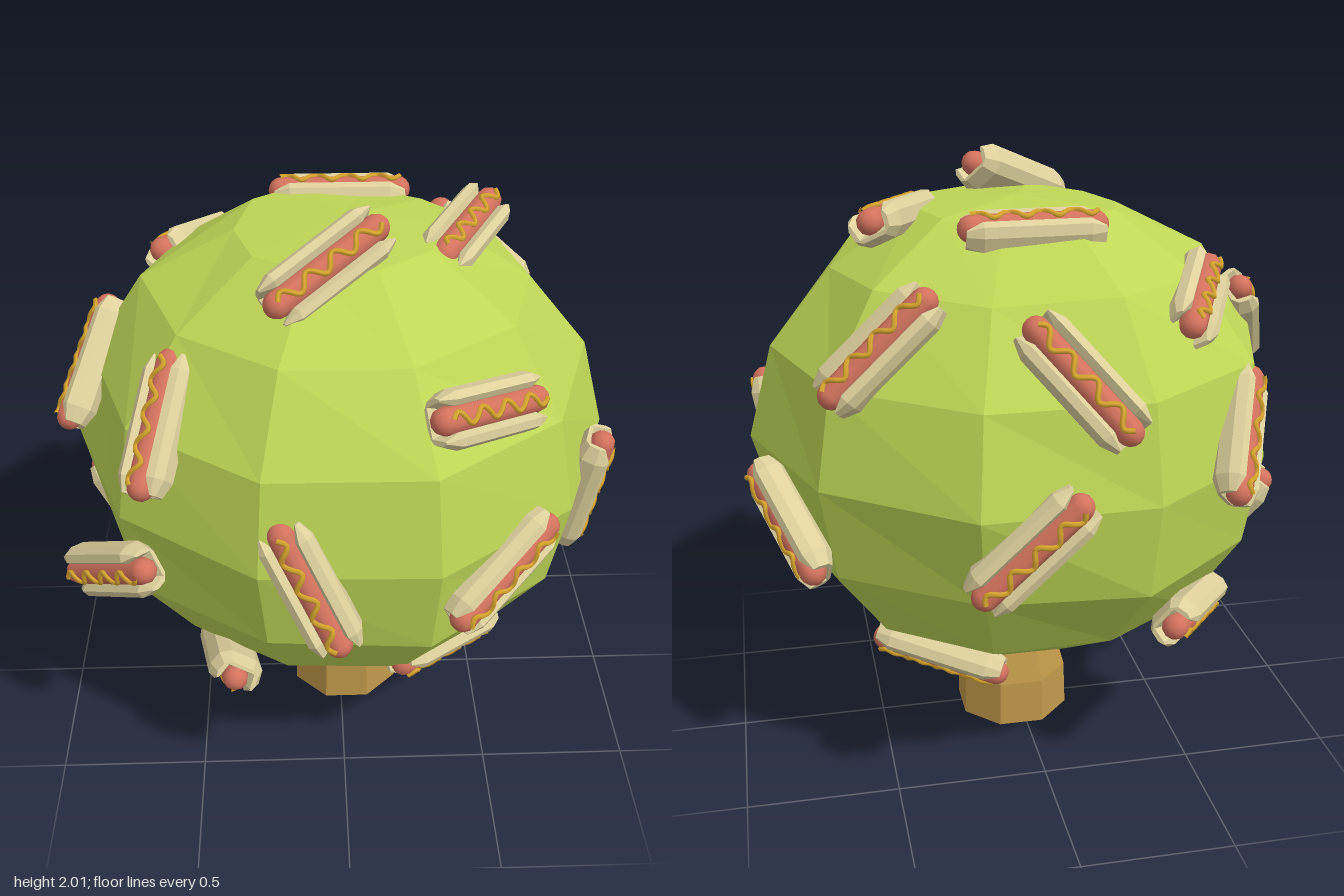
import * as THREE from 'three';

const mat = (color, flatShading = true) => new THREE.MeshStandardMaterial({ color, flatShading });
const V = (a) => new THREE.Vector3(...a);
const CENTRE = V([0, 1.11, 0]);
const RADII = V([0.88, 0.8, 0.885]);

// Snack placements: centre, long axis, optional facing direction
const PLACES = [
  [[0.01, 1.83, -0.31], [1, 0, 0], [0, 1, -0.12]],
  [[0.4, 1.825, -0.02], [0.2, 0.03, -0.38]],
  [[-0.05, 1.865, 0.32], [0.35, 0.17, -0.24], [0.25, 0.6, 0.6]],
  [[0.51, 1.54, -0.51], [0.32, -0.3, -0.02]],
  [[-0.49, 1.61, -0.39], [-0.18, 0.1, 0.38]],
  [[-0.575, 1.22, -0.575], [-0.13, 0.32, 0.29]],
  [[0.12, 1.01, -0.82], [-0.32, 0.31, -0.02]],
  [[-0.03, 1.5, -0.79], [0.25, 0.28, 0.18]],
  [[0.8, 0.95, -0.36], [0.16, 0.25, 0.33]],
  [[-0.54, 1.44, 0.5], [0.11, 0.35, -0.33]],
  [[-0.81, 1.41, 0.065], [0.14, 0.31, -0.3]],
  [[0.415, 1.53, 0.59], [0.32, -0.08, -0.25]],
  [[-0.11, 1.08, 0.825], [0.18, -0.37, 0.1]],
  [[0.475, 1.02, 0.7], [0.32, 0.23, -0.24]],
  [[-0.74, 0.92, 0.53], [0.28, 0.21, 0.27]],
  [[0.8, 1.02, 0.27], [0.07, 0.43, 0.05]],
  [[0.335, 0.53, 0.46], [0.34, -0.05, -0.29]],
  [[-0.39, 0.47, 0.44], [0.06, 0.13, 0.36]],
  [[-0.74, 0.715, -0.08], [-0.17, 0.25, -0.1]],
  [[0.33, 0.44, -0.38], [0.33, 0.08, 0.15]],
  [[-0.47, 0.61, -0.55], [-0.62, -0.2, 0.88]],
];

// Ten-sided leafy ball, slightly irregular, flattened at top and bottom
function makeCrown() {
  const geo = new THREE.SphereGeometry(1, 10, 8);
  const pos = geo.attributes.position;
  const v = new THREE.Vector3();
  for (let i = 0; i < pos.count; i++) {
    v.fromBufferAttribute(pos, i);
    const wobble = 1.005 + 0.02 * Math.sin(7 * v.x + 3 * v.y + 1) * Math.cos(6 * v.z - 4 * v.y);
    v.multiplyScalar(wobble).multiply(RADII).add(CENTRE);
    pos.setXYZ(i, v.x, THREE.MathUtils.clamp(v.y, 0.36, 1.88), v.z);
  }
  geo.computeVertexNormals();
  const crown = new THREE.Mesh(geo, mat(0xbfd656));
  crown.name = 'crown';
  return crown;
}

// Eight-sided trunk, flared at the foot
function makeTrunk() {
  const profile = [[0, 0], [0.202, 0], [0.196, 0.16], [0.14, 0.36], [0.132, 0.5]];
  const geo = new THREE.LatheGeometry(profile.map((p) => new THREE.Vector2(...p)), 8, Math.PI / 8);
  const trunk = new THREE.Mesh(geo, mat(0xc0984a));
  trunk.name = 'trunk';
  trunk.position.set(0.02, 0, -0.005);
  return trunk;
}

// Split bun: grooved section, chamfered ends, running along z
function makeBunGeometry() {
  const half = [[0.045, -0.062], [0.08, -0.038], [0.09, 0.008], [0.08, 0.04], [0.055, 0.05], [0.038, 0.03], [0.03, -0.01]];
  const outline = [...half, ...half.map(([x, y]) => [-x, y]).reverse()];
  const geo = new THREE.ExtrudeGeometry(new THREE.Shape(outline.map((p) => new THREE.Vector2(...p))), {
    depth: 0.33, bevelEnabled: true, bevelThickness: 0.05, bevelSize: 0.02, bevelOffset: -0.02, bevelSegments: 1,
  });
  return geo.translate(0, 0, -0.165);
}

// Wave of sauce along the top of the sausage
function makeSauceGeometry() {
  const points = [];
  for (let i = 0; i <= 32; i++) {
    const t = i / 32;
    const x = 0.02 * Math.sin(t * Math.PI * 8);
    const z = (t - 0.5) * 0.4;
    points.push(new THREE.Vector3(x, 0.01 + Math.sqrt(0.044 ** 2 - x * x), z));
  }
  return new THREE.TubeGeometry(new THREE.CatmullRomCurve3(points), 64, 0.009, 5);
}

export function createModel() {
  const model = new THREE.Group();
  model.name = 'snackTree';
  model.add(makeTrunk(), makeCrown());

  const parts = [
    ['bun', makeBunGeometry(), mat(0xddd09c)],
    ['sausage', new THREE.CapsuleGeometry(0.043, 0.385, 4, 10).rotateX(Math.PI / 2).translate(0, 0.01, 0), mat(0xd4735e, false)],
    ['sauce', makeSauceGeometry(), mat(0xd9a62e, false)],
  ];

  PLACES.forEach(([at, along, facing]) => {
    // Keep each one resting on the crown rather than sunk into it
    const offset = V(at).sub(CENTRE);
    const reach = offset.clone().divide(RADII).length();
    offset.multiplyScalar(Math.max(1, 0.96 / reach));

    const normal = facing ? V(facing) : offset.clone();
    const axis = V(along).normalize();
    normal.addScaledVector(axis, -normal.dot(axis)).normalize();
    const side = new THREE.Vector3().crossVectors(normal, axis);

    const snack = new THREE.Group();
    snack.name = 'hotDog';
    snack.quaternion.setFromRotationMatrix(new THREE.Matrix4().makeBasis(side, normal, axis));
    snack.position.copy(CENTRE).add(offset);
    for (const [name, geo, material] of parts) {
      const mesh = new THREE.Mesh(geo, material);
      mesh.name = name;
      snack.add(mesh);
    }
    model.add(snack);
  });
  return model;
}
